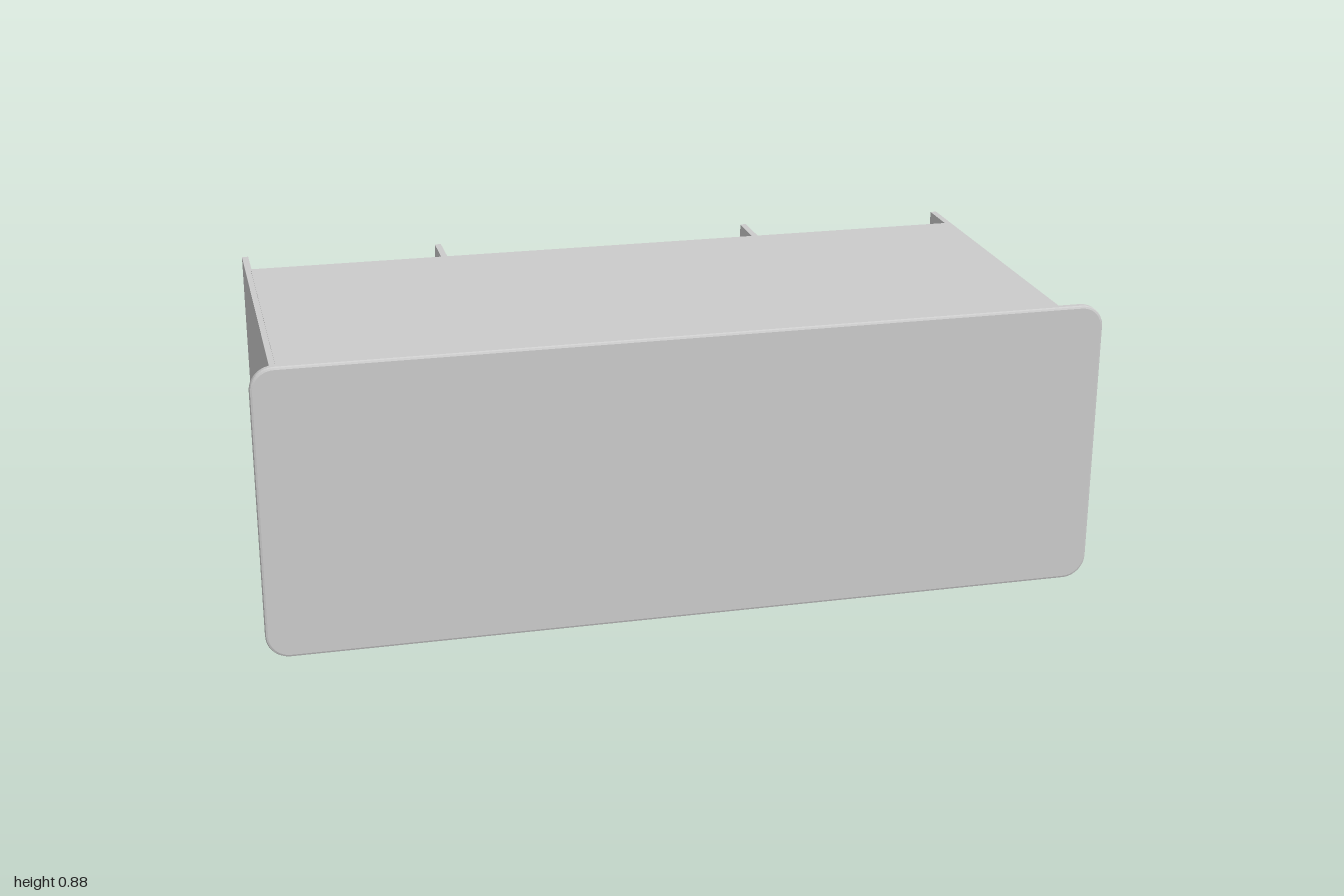
import * as THREE from 'three';

const material = new THREE.MeshStandardMaterial({ color: 0xcccccc, side: THREE.DoubleSide });

// Box given by its limits on each axis
function slab(parent, name, [x0, x1], [y0, y1], [z0, z1]) {
  const mesh = new THREE.Mesh(new THREE.BoxGeometry(x1 - x0, y1 - y0, z1 - z0), material);
  mesh.position.set((x0 + x1) / 2, (y0 + y1) / 2, (z0 + z1) / 2);
  mesh.name = name;
  parent.add(mesh);
  return mesh;
}

// Rounded rectangular desktop, standing upright
function desktop() {
  const w = 0.994, y0 = 0.181, y1 = 0.872, r = 0.05;
  const s = new THREE.Shape();
  s.absarc(w - r, y0 + r, r, -Math.PI / 2, 0);
  s.absarc(w - r, y1 - r, r, 0, Math.PI / 2);
  s.absarc(-w + r, y1 - r, r, Math.PI / 2, Math.PI);
  s.absarc(-w + r, y0 + r, r, Math.PI, Math.PI * 1.5);
  const g = new THREE.ExtrudeGeometry(s, {
    depth: 0.012, bevelThickness: 0.005, bevelSize: 0.006, bevelSegments: 2, curveSegments: 6,
  });
  g.translate(0, 0, 0.483);
  const mesh = new THREE.Mesh(g, material);
  mesh.name = 'desktop';
  return mesh;
}

// Bowed pull hanging below its front, flattened across its length
function handle(x, y, z, turn = 0) {
  const path = new THREE.CatmullRomCurve3([
    [-0.088, 0.004], [-0.066, -0.022], [-0.035, -0.05], [0, -0.056],
    [0.035, -0.05], [0.066, -0.022], [0.088, 0.004],
  ].map(([a, b]) => new THREE.Vector3(a, b, 0)));
  const g = new THREE.TubeGeometry(path, 14, 0.006, 6);
  g.scale(1, 1, 1.4);
  const mesh = new THREE.Mesh(g, material);
  mesh.position.set(x, y, z);
  mesh.rotation.y = turn;
  mesh.name = 'handle';
  return mesh;
}

// Drawer with its open side towards the desktop, pulled out downwards
function drawer(z0, z1, pull, lock) {
  const g = new THREE.Group();
  g.name = 'drawer';
  const x = [0.415, 0.915], y = [0.21, 0.832], z = [z0 + 0.008, z1 - 0.018], t = 0.01;
  slab(g, 'drawerFront', [0.385, 0.942], [0.19, 0.21], [z0, z1]);
  slab(g, 'drawerBottom', x, y, [z[0], z[0] + t]);
  slab(g, 'drawerSide', [x[0], x[0] + t], y, z);
  slab(g, 'drawerSide', [x[1] - t, x[1]], y, z);
  slab(g, 'drawerBack', x, [y[1] - t, y[1]], z);
  g.add(handle(0.665, 0.19, (z0 + z1) / 2));
  if (lock) {
    const mesh = new THREE.Mesh(new THREE.CylinderGeometry(0.021, 0.015, 0.012, 12), material);
    mesh.position.set(0.665, 0.186, (z0 + z1) / 2 + 0.08);
    mesh.name = 'lock';
    g.add(mesh);
  }
  g.position.y = -pull;
  return g;
}

export function createModel() {
  const model = new THREE.Group();
  model.name = 'desk';
  model.add(desktop());

  // Upright side panels of the two pedestals
  for (const x of [-0.938, -0.437, 0.395, 0.938])
    slab(model, 'sidePanel', [x - 0.008, x + 0.008], [0.211, 0.835], [-0.5, 0.483]);

  // Back sheet joining the panels
  slab(model, 'backPanel', [-0.932, 0.932], [0.832, 0.837], [-0.38, 0.483]);

  // Cupboard floor, door and door pull
  slab(model, 'cupboardFloor', [-0.932, -0.44], [0.211, 0.833], [-0.31, -0.298]);
  slab(model, 'cupboardDoor', [-0.948, -0.432], [0.193, 0.211], [-0.372, 0.478]);
  model.add(handle(-0.487, 0.193, 0.145, Math.PI / 2));

  // Three drawers, the last one pulled out
  model.add(drawer(0.202, 0.478, 0, true));
  model.add(drawer(-0.08, 0.198, 0, true));
  model.add(drawer(-0.362, -0.085, 0.127, false));

  return model;
}
